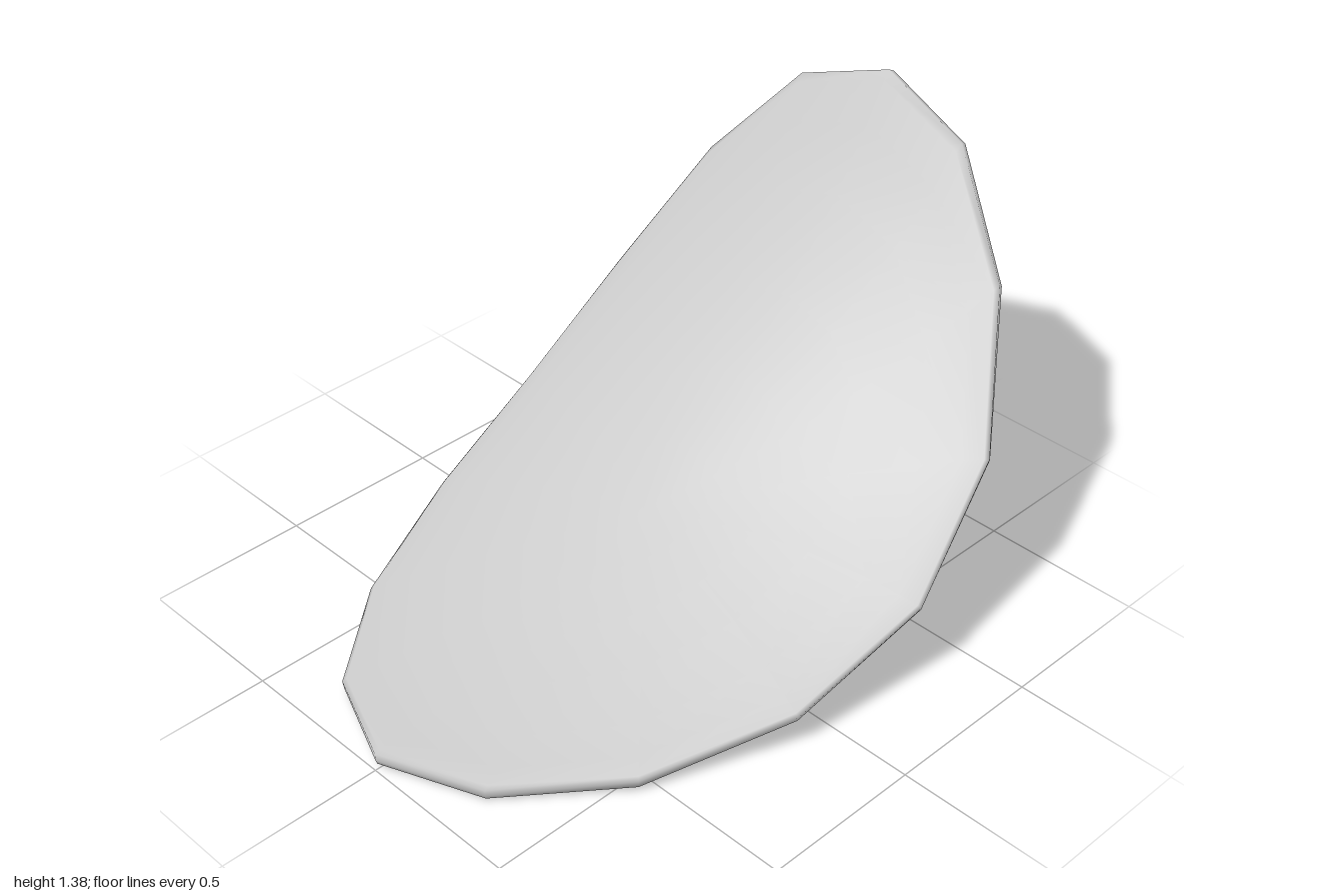
import * as THREE from 'three';
import { mergeVertices } from 'three/addons/utils/BufferGeometryUtils.js';

// Half outline of the petal (x, z), from the raised back tip to the front tip
const half = [[0, -0.96], [0.3, -0.93], [0.555, -0.82], [0.735, -0.605], [0.795, -0.28],
  [0.735, 0.14], [0.56, 0.565], [0.3, 0.875], [0, 1]];

// Upper surface: a spine sweeping up to the back, drooping to both sides
function height(x, z) {
  const u = 1 - z;
  const spine = 0.07 + u * (0.0195 + 0.361 * u - 0.19 * u * u + 0.09 * u * u * u);
  return spine - (0.22 + 0.09 * u * u) * x * x;
}

// Point at a given depth below the upper surface, measured along its normal
function surfacePoint(x, z, depth) {
  const e = 0.001;
  const normal = new THREE.Vector3(
    (height(x - e, z) - height(x + e, z)) / (2 * e), 1,
    (height(x, z - e) - height(x, z + e)) / (2 * e)).normalize();
  return new THREE.Vector3(x, height(x, z), z).addScaledVector(normal, -depth);
}

function petalGeometry() {
  const outline = [...half, ...half.slice(1, -1).reverse().map(([x, z]) => [-x, z])];
  const n = outline.length;

  // Cross-section [scale of outline, depth]: top centre, rounded rim, underside centre
  const steps = [0, 0.2, 0.4, 0.6, 0.8, 0.92];
  const section = [
    ...steps.map((s) => [s, 0]),
    [0.985, 0], [1, 0.006], [1, 0.03], [0.995, 0.045], [0.98, 0.055],
    ...steps.slice().reverse().map((s) => [s, 0.055]),
  ];

  const positions = [];
  const index = [];
  section.forEach(([s, depth], i) => {
    outline.forEach(([x, z], j) => {
      positions.push(...surfacePoint(x * s, z * s, depth).toArray());
      if (i === section.length - 1) return;
      const a = i * n + j;
      const d = i * n + (j + 1) % n;
      if (i > 0) index.push(a, d, d + n);
      if (i < section.length - 2) index.push(a, d + n, a + n);
      else index.pop(), index.pop(), index.pop(), index.push(a, d, a + n);
    });
  });

  let geometry = new THREE.BufferGeometry();
  geometry.setAttribute('position', new THREE.Float32BufferAttribute(positions, 3));
  geometry.setIndex(index);
  geometry = mergeVertices(geometry, 1e-5);
  geometry.computeVertexNormals();
  return geometry;
}

export function createModel() {
  const group = new THREE.Group();
  group.name = 'curvedPetal';
  const petal = new THREE.Mesh(petalGeometry(), new THREE.MeshStandardMaterial({ color: 0xcccccc }));
  petal.name = 'petal';

  // Stand on the ground, centred
  petal.geometry.computeBoundingBox();
  const { min, max } = petal.geometry.boundingBox;
  petal.position.set(0, -min.y, -(min.z + max.z) / 2);
  group.add(petal);
  return group;
}
